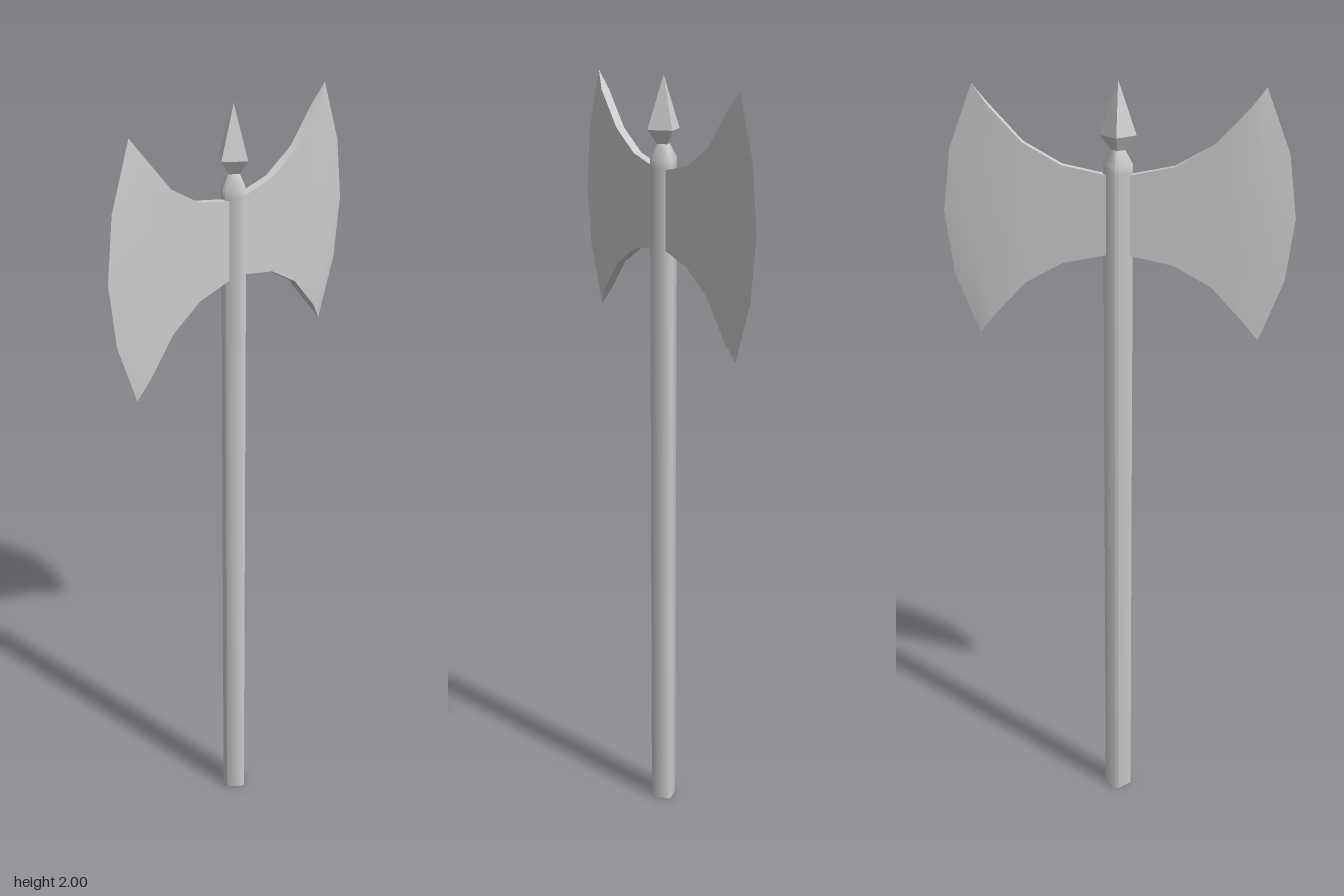
import * as THREE from 'three';
import { toCreasedNormals } from 'three/addons/utils/BufferGeometryUtils.js';

// Skins a row of closed loops that all have the same number of points.
function skin(loops, crease) {
  const n = loops[0].length;
  const index = [];
  for (let i = 0; i < loops.length - 1; i++) {
    for (let j = 0; j < n; j++) {
      const k = (j + 1) % n;
      const a = i * n + j, b = i * n + k, c = a + n, d = b + n;
      index.push(a, c, d, a, d, b);
    }
  }
  const geo = new THREE.BufferGeometry();
  geo.setAttribute('position', new THREE.Float32BufferAttribute(loops.flat(2), 3));
  geo.setIndex(index);
  return toCreasedNormals(geo, crease);
}

// Diamond cross-section with slightly blunted corners
function shaftLoop(y, r) {
  const b = r * 0.11;
  const loop = [];
  for (let k = 0; k < 4; k++) {
    const c = Math.cos(k * Math.PI / 2), s = Math.sin(k * Math.PI / 2);
    for (const t of [-b, b]) loop.push([r * c - t * s, y, r * s + t * c]);
  }
  return loop;
}

// Blade cross-section: up the front face, down the back face
function bladeLoop([x, h, bulge, z]) {
  const rows = [-1, -0.5, 0, 0.5, 1];
  const side = (t, depth) => [x + bulge * (1 - t * t), h * t, depth];
  return [...rows.map(t => side(t, z)), ...rows.map(t => side(-t, -z))];
}

export function createModel() {
  const axe = new THREE.Group();
  axe.name = 'doubleAxe';
  const material = new THREE.MeshStandardMaterial({ color: 0xcccccc });
  const add = (name, geometry, mat = material) => {
    const mesh = new THREE.Mesh(geometry, mat);
    mesh.name = name;
    axe.add(mesh);
    return mesh;
  };

  // Shaft with a tapered top, closed at both ends
  const rings = [[0, 0], [0, 0.036], [1.78, 0.036], [1.8, 0.036], [1.835, 0.017], [1.835, 0]];
  add('shaft', skin(rings.map(([y, r]) => shaftLoop(y, r)), 0.95));

  // Four-sided spike
  const spikeProfile = [[0, 1.825], [0.014, 1.83], [0.045, 1.87], [0, 2]]
    .map(([x, y]) => new THREE.Vector2(x, y));
  const faceted = new THREE.MeshStandardMaterial({ color: 0xcccccc, flatShading: true });
  add('spike', new THREE.LatheGeometry(spikeProfile, 4), faceted);

  // Two flared blades: [x, half height, bulge of the curve, half thickness]
  const columns = [
    [0, 0.1, 0, 0.011],
    [0.03, 0.1, 0, 0.011],
    [0.138, 0.122, 0, 0.011],
    [0.233, 0.175, 0.02, 0.011],
    [0.317, 0.265, 0.055, 0.011],
    [0.354, 0.313, 0.081, 0],
  ];
  const bladeGeometry = skin(columns.map(bladeLoop), 0.6);
  for (const [name, turn] of [['leftBlade', 0], ['rightBlade', Math.PI]]) {
    const blade = add(name, bladeGeometry);
    blade.position.y = 1.675;
    blade.rotation.y = turn;
  }
  return axe;
}
